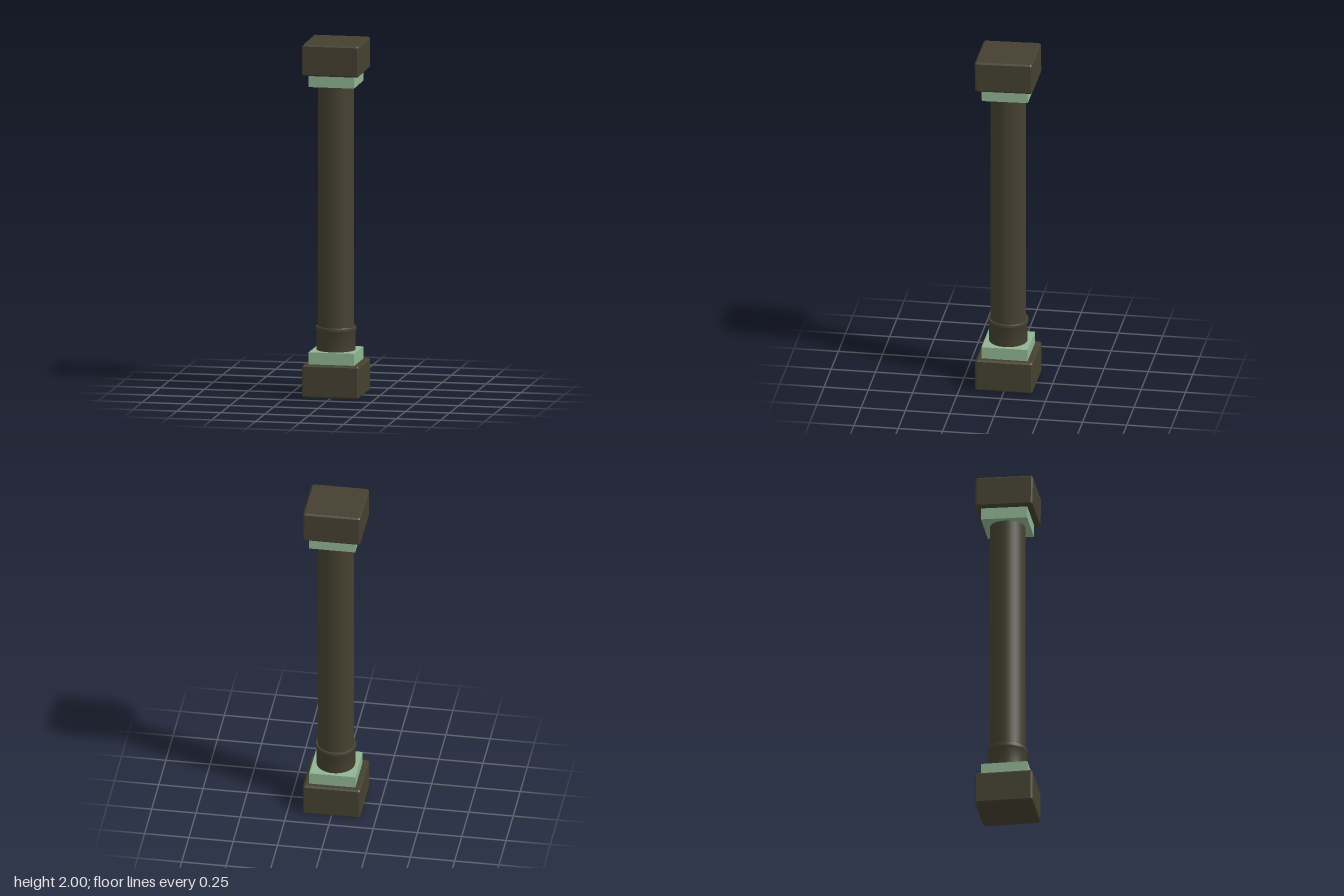
import * as THREE from 'three';
import { toCreasedNormals } from 'three/addons/utils/BufferGeometryUtils.js';

const dark = new THREE.MeshStandardMaterial({ color: 0x454030 });
const green = new THREE.MeshStandardMaterial({ color: 0x90b592 });

// Square block with every edge chamfered, standing on y = 0
function chamferedBlock(half, height, c) {
  const a = half - c, b = a - c * 0.4;
  const shape = new THREE.Shape([
    [a, -b], [a, b], [b, a], [-b, a], [-a, b], [-a, -b], [-b, -a], [b, -a],
  ].map(([x, y]) => new THREE.Vector2(x, y)));
  const geo = new THREE.ExtrudeGeometry(shape, {
    depth: height - 2 * c, bevelEnabled: true, bevelSegments: 1, bevelSize: c, bevelThickness: c,
  });
  return geo.translate(0, 0, c).rotateX(-Math.PI / 2);
}

function add(parent, name, geometry, material, y = 0) {
  const mesh = new THREE.Mesh(geometry, material);
  mesh.name = name;
  mesh.position.y = y;
  parent.add(mesh);
  return mesh;
}

export function createModel() {
  const column = new THREE.Group();
  column.name = 'column';

  // Base: dark plinth with a narrower green slab
  add(column, 'basePlinth', chamferedBlock(0.162, 0.184, 0.009), dark);
  add(column, 'baseSlab', new THREE.BoxGeometry(0.26, 0.08, 0.26), green, 0.212);

  // Round shaft
  add(column, 'shaft', new THREE.CylinderGeometry(0.1, 0.1, 1.53, 32), dark, 1.005);

  // Sleeve around the foot of the shaft, ending in a rounded collar
  const profile = [
    [0.108, 0.24], [0.108, 0.355], [0.112, 0.362], [0.114, 0.37],
    [0.114, 0.38], [0.111, 0.386], [0.099, 0.386],
  ].map(([r, y]) => new THREE.Vector2(r, y));
  add(column, 'footSleeve', toCreasedNormals(new THREE.LatheGeometry(profile, 32), 0.6), dark);

  // Capital: the base mirrored, leaning very slightly forward
  const capital = new THREE.Group();
  capital.name = 'capital';
  capital.position.y = 1.82;
  capital.rotation.x = 0.02;
  add(capital, 'capitalSlab', new THREE.BoxGeometry(0.26, 0.08, 0.26), green, -0.027);
  add(capital, 'capitalBlock', chamferedBlock(0.162, 0.177, 0.009), dark);
  column.add(capital);

  return column;
}
